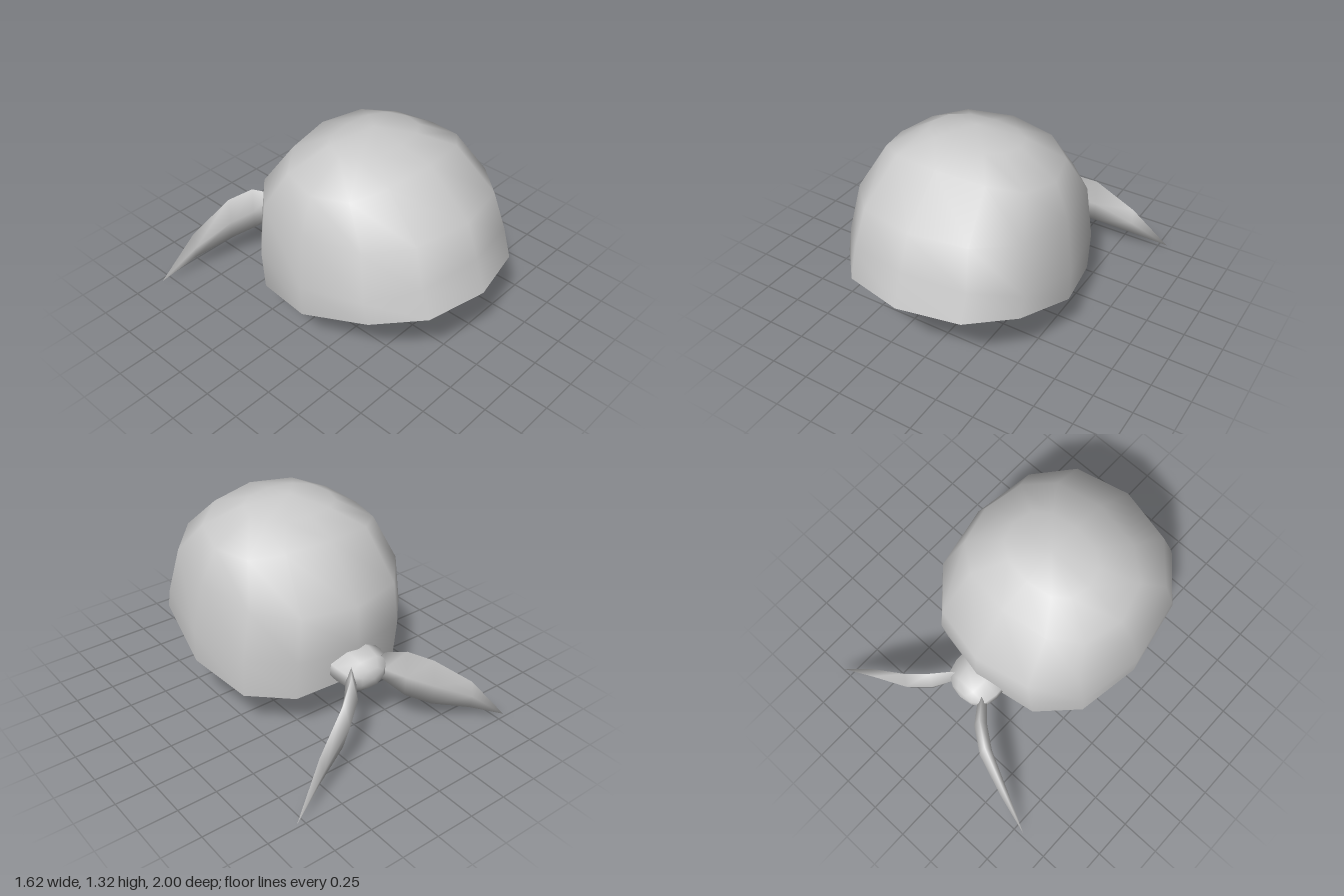
import * as THREE from 'three';
import { mergeVertices } from 'three/addons/utils/BufferGeometryUtils.js';

const SIDES = 12;
const signedPow = (v, p) => Math.sign(v) * Math.abs(v) ** p;

// Skin a series of closed rings; rings run counter-clockwise seen from the first one's outer end.
function loft(rings) {
  const n = rings[0].length, index = [];
  for (let i = 0; i < rings.length - 1; i++) {
    for (let j = 0; j < n; j++) {
      const k = (j + 1) % n;
      const a = i * n + j, b = a + n, c = (i + 1) * n + k, d = i * n + k;
      index.push(a, b, c, a, c, d);
    }
  }
  let geo = new THREE.BufferGeometry();
  geo.setAttribute('position', new THREE.Float32BufferAttribute(rings.flat(2), 3));
  geo.setIndex(index);
  geo = mergeVertices(geo);
  geo.computeVertexNormals();
  return geo;
}

// Cap: each row holds the front, back and side points of one ring.
function capGeometry() {
  const rows = [
    { f: [0.15, 1.315], b: [0.15, 1.315], s: [0, 1.315, 0.15] },
    { f: [0.36, 1.278], b: [-0.055, 1.243], s: [0.29, 1.255, 0.15] },
    { f: [0.57, 1.24], b: [-0.26, 1.17], s: [0.525, 1.11, 0.16] },
    { f: [0.85, 0.99], b: [-0.5, 0.84], s: [0.62, 0.9, 0.18] },
    { f: [0.93, 0.78], b: [-0.517, 0.58], s: [0.675, 0.57, 0.21] },
    { f: [0.995, 0.57], b: [-0.49, 0.36], s: [0.67, 0.365, 0.21] },
  ];
  // Heights of the sloping hem, from front centre to back centre
  const hem = [0.57, 0.56, 0.515, 0.365, 0.298, 0.308, 0.36];
  return loft(rows.map(({ f, b, s }, i) => {
    const ring = [];
    for (let j = 0; j < SIDES; j++) {
      const t = (j / SIDES) * Math.PI * 2;
      const c = signedPow(Math.cos(t), 0.82), x = signedPow(Math.sin(t), 0.85) * s[0];
      const z = s[2] + (c > 0 ? c * (f[0] - s[2]) : -c * (b[0] - s[2]));
      const cc = Math.cos(t);
      let y = s[1] + ((f[1] + b[1]) / 2 - s[1]) * cc * cc + ((f[1] - b[1]) / 2) * cc;
      if (i === rows.length - 1) y = hem[Math.min(j, SIDES - j)];
      ring.push([x, y, z]);
    }
    return ring;
  }));
}

// Knot: rounded lump growing out of the back of the cap.
function knotGeometry() {
  // z, half width, half height, centre height
  const rows = [
    [-0.46, 0.17, 0.1, 0.465],
    [-0.52, 0.172, 0.105, 0.46],
    [-0.61, 0.15, 0.1, 0.445],
    [-0.655, 0.08, 0.06, 0.44],
    [-0.67, 0, 0, 0.44],
  ];
  return loft(rows.map(([z, w, h, y]) => Array.from({ length: 8 }, (_, j) => {
    const t = ((j + 0.5) / 8) * Math.PI * 2;
    return [w * 1.06 * Math.cos(t), y + h * 1.06 * Math.sin(t), z];
  })));
}

// Tail: diamond sections along a curved path, tapering to a point.
function tailGeometry(side, tipY, tipZ) {
  // x, z, top, bottom, half thickness
  const rows = [
    [0.07, -0.55, 0.46, 0.40, 0.01],
    [0.13, -0.61, 0.54, 0.34, 0.03],
    [0.21, -0.71, 0.565, 0.255, 0.04],
    [0.34, -0.805, 0.5, 0.19, 0.04],
    [0.58, -0.9, 0.3, 0.11, 0.025],
    [0.81, tipZ, tipY, tipY, 0],
  ];
  return loft(rows.map(([x, z, top, bottom, thick], i) => {
    const p = rows[Math.max(i - 1, 0)], q = rows[Math.min(i + 1, rows.length - 1)];
    const along = new THREE.Vector2((q[0] - p[0]) * side, q[1] - p[1]).normalize();
    const dx = -along.y * thick, dz = along.x * thick, mid = (top + bottom) / 2;
    return [
      [x * side, top, z],
      [x * side - dx, mid, z - dz],
      [x * side, bottom, z],
      [x * side + dx, mid, z + dz],
    ];
  }));
}

export function createModel() {
  const group = new THREE.Group();
  group.name = 'headscarf';
  const material = new THREE.MeshStandardMaterial({ color: 0xcccccc, side: THREE.DoubleSide });
  const add = (name, geometry) => {
    const mesh = new THREE.Mesh(geometry, material);
    mesh.name = name;
    group.add(mesh);
  };
  add('cap', capGeometry());
  add('knot', knotGeometry());
  add('leftTail', tailGeometry(1, 0.025, -1));
  add('rightTail', tailGeometry(-1, 0, -0.98));
  return group;
}
